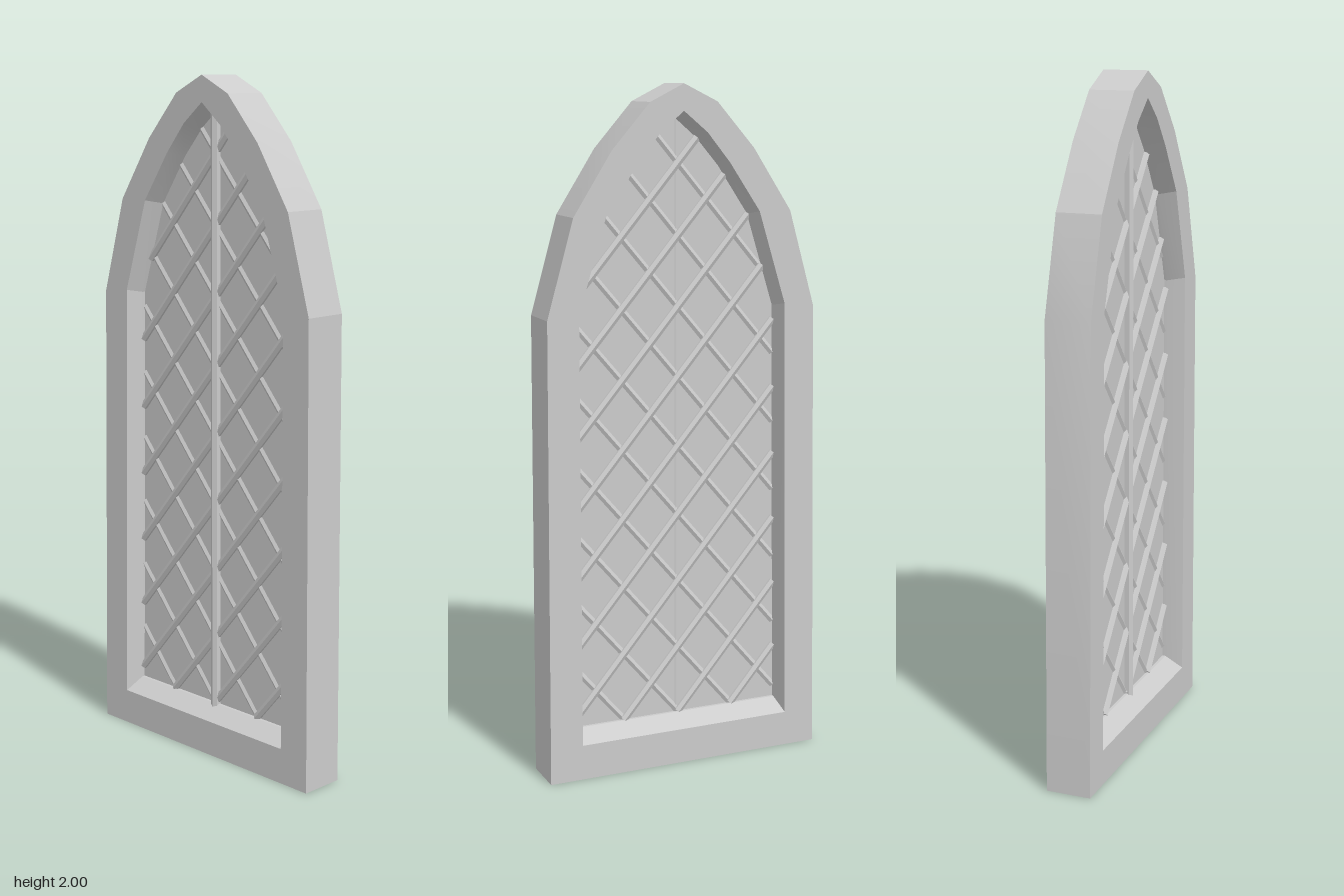
import * as THREE from 'three';
import { toCreasedNormals } from 'three/addons/utils/BufferGeometryUtils.js';

// Loops run counter-clockwise from the lower right corner
const OUTER = [[0.43, 0], [0.42, 1.36], [0.34, 1.64], [0.225, 1.82], [0.11, 1.95], [0.008, 2],
  [-0.095, 1.95], [-0.21, 1.82], [-0.328, 1.64], [-0.408, 1.36], [-0.43, 0]];
const OPENING = [[0.33, 0.105], [0.326, 1.37], [0.243, 1.64], [0.15, 1.78], [0.08, 1.865], [0.008, 1.925],
  [-0.065, 1.865], [-0.135, 1.78], [-0.23, 1.64], [-0.314, 1.37], [-0.333, 0.105]];
// The opening narrows to this outline at mid depth
const NECK = [[0.322, 0.14], [0.318, 1.36], [0.234, 1.63], [0.142, 1.77], [0.073, 1.85], [0.008, 1.905],
  [-0.057, 1.85], [-0.126, 1.77], [-0.22, 1.63], [-0.304, 1.36], [-0.321, 0.14]];
const HALF = 0.067;

const material = new THREE.MeshStandardMaterial({ color: 0xcccccc });

function addMesh(parent, geometry, name) {
  const mesh = new THREE.Mesh(geometry, material);
  mesh.name = name;
  parent.add(mesh);
  return mesh;
}

// Closed section swept round the window outline
function frameGeometry() {
  const rings = [[OUTER, -HALF], [OUTER, HALF], [OPENING, HALF], [NECK, 0.012], [NECK, -0.012], [OPENING, -HALF]]
    .map(([loop, z]) => loop.map(([x, y]) => [x, y, z]));
  const pos = [];
  rings.forEach((a, i) => {
    const b = rings[(i + 1) % rings.length];
    a.forEach((p, j) => {
      const k = (j + 1) % a.length;
      pos.push(...p, ...a[k], ...b[k], ...p, ...b[k], ...b[j]);
    });
  });
  const g = new THREE.BufferGeometry();
  g.setAttribute('position', new THREE.Float32BufferAttribute(pos, 3));
  return toCreasedNormals(g, 0.27);
}

// Six-sided bar between two points
function addBar(parent, a, b, z, radius, name) {
  const dir = new THREE.Vector2().subVectors(b, a);
  const g = new THREE.CylinderGeometry(radius, radius, dir.length(), 6).toNonIndexed();
  g.computeVertexNormals();
  const bar = addMesh(parent, g, name);
  bar.position.set((a.x + b.x) / 2, (a.y + b.y) / 2, z);
  bar.rotation.z = dir.angle() - Math.PI / 2;
}

// Where the line y = slope * x + c crosses the neck outline
function clipLine(slope, c) {
  const hits = [];
  NECK.forEach(([x0, y0], i) => {
    const [x1, y1] = NECK[(i + 1) % NECK.length];
    const d0 = y0 - slope * x0 - c, d1 = y1 - slope * x1 - c;
    if (d0 * d1 < 0) {
      const t = d0 / (d0 - d1);
      hits.push(new THREE.Vector2(x0 + t * (x1 - x0), y0 + t * (y1 - y0)));
    }
  });
  return hits;
}

export function createModel() {
  const model = new THREE.Group();
  model.name = 'archedWindow';

  addMesh(model, frameGeometry(), 'frame');

  // Thin pane filling the neck of the opening
  const paneShape = new THREE.Shape(NECK.map(([x, y]) => new THREE.Vector2(x, y)));
  const pane = new THREE.ExtrudeGeometry(paneShape, { depth: 0.006, bevelEnabled: false });
  addMesh(model, pane.translate(0, 0, -0.003), 'pane');

  // Diagonal lattice, one direction slightly ahead of the other
  const lattice = new THREE.Group();
  lattice.name = 'lattice';
  model.add(lattice);
  const rise = 0.205, slope = rise / 0.175;
  for (const side of [1, -1]) {
    for (let k = -2; k < 12; k++) {
      const hits = clipLine(side * slope, 0.14 + k * rise + 0.001);
      if (hits.length === 2 && hits[0].distanceTo(hits[1]) > 0.03) {
        addBar(lattice, hits[0], hits[1], side * 0.004, 0.0125, 'latticeBar');
      }
    }
  }

  // Upright bar in the middle, set towards the front
  addBar(model, new THREE.Vector2(0.006, 0.13), new THREE.Vector2(0.006, 1.915), 0.01, 0.0145, 'mullion');
  return model;
}
